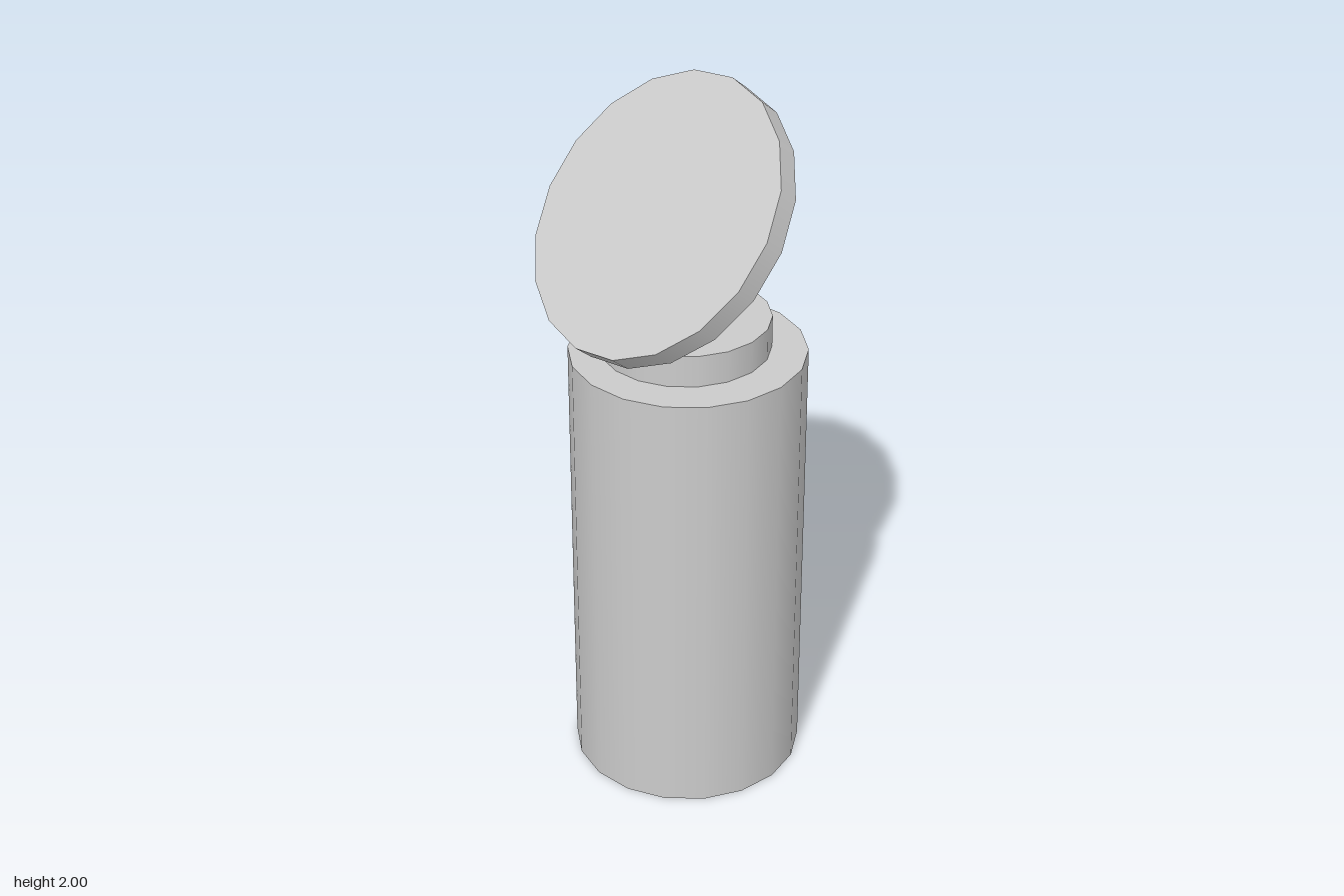
import * as THREE from 'three';

const SIDES = 18;
const TILT = THREE.MathUtils.degToRad(50);
const DISC = { x: -0.057, y: 1.6725, radius: 0.401, thickness: 0.064 };

const material = new THREE.MeshStandardMaterial({ color: 0xcccccc });

// Upright cylinder with one corner on the +x axis
function cylinder(name, radius, height, x, y, z) {
  const geometry = new THREE.CylinderGeometry(radius, radius, height, SIDES, 1, false, Math.PI / 2);
  const mesh = new THREE.Mesh(geometry, material);
  mesh.name = name;
  mesh.position.set(x, y, z);
  return mesh;
}

export function createModel() {
  const model = new THREE.Group();
  model.name = 'model';

  // Body: ten equal drums stacked on each other
  const body = new THREE.Group();
  body.name = 'body';
  const count = 10;
  const drumHeight = 0.1275;
  for (let i = 0; i < count; i++) {
    body.add(cylinder(`drum${i + 1}`, 0.322, drumHeight, 0.016, (i + 0.5) * drumHeight, 0.02));
  }
  model.add(body);

  // Collar on top of the body
  const bodyTop = count * drumHeight;
  const collarHeight = 0.09;
  model.add(cylinder('collar', 0.233, collarHeight, 0.022, bodyTop + collarHeight / 2, 0));

  // Stem: its upper end is cut on a slant along the middle of the disc
  const stemBottom = bodyTop + collarHeight;
  const stemHeight = 0.4;
  const stem = cylinder('stem', 0.105, stemHeight, 0.02, stemBottom + stemHeight / 2, 0);
  const points = stem.geometry.attributes.position;
  for (let i = 0; i < points.count; i++) {
    if (points.getY(i) < 0) continue;
    const x = points.getX(i) + stem.position.x;
    points.setY(i, DISC.y + Math.tan(TILT) * (x - DISC.x) - stem.position.y);
  }
  model.add(stem);

  // Tilted disc
  const disc = cylinder('tiltedDisc', DISC.radius, DISC.thickness, DISC.x, DISC.y, 0);
  disc.rotation.z = TILT;
  model.add(disc);

  return model;
}
